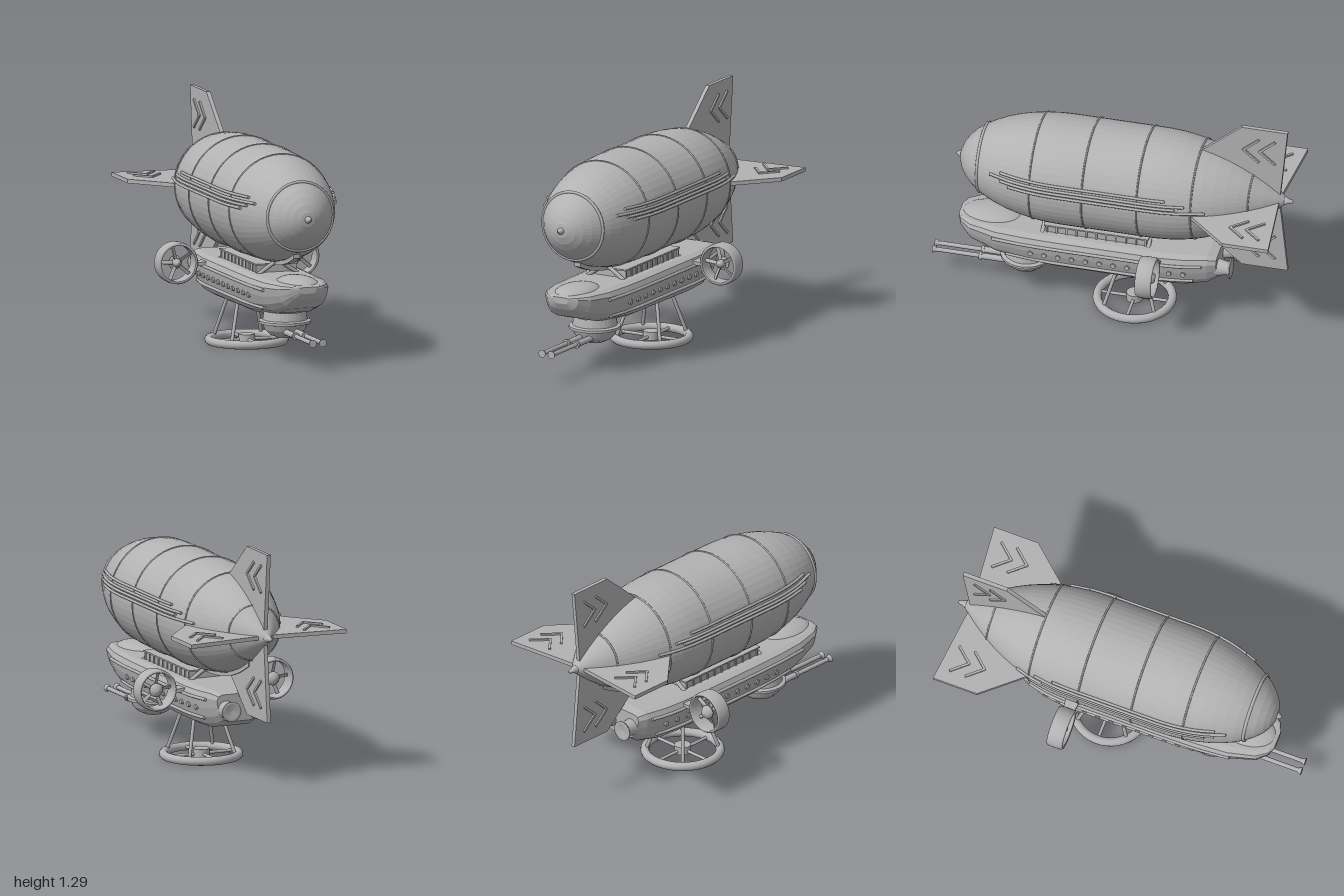
import * as THREE from 'three';

const AXIS_Y = 0.825; // height of the envelope centre line
const grey = new THREE.MeshStandardMaterial({ color: 0xb2b2b2 });
grey.name = 'light grey';
const V = (x, y, z) => new THREE.Vector3(x, y, z);

function add(parent, name, geo, x = 0, y = 0, z = 0) {
  const mesh = new THREE.Mesh(geo, grey);
  mesh.name = name;
  mesh.position.set(x, y, z);
  parent.add(mesh);
  return mesh;
}

function faceted(geo) {
  const g = geo.toNonIndexed();
  g.computeVertexNormals();
  return g;
}

// straight round bar between two points
function rod(parent, name, a, b, r, r2 = r, sides = 12) {
  const d = b.clone().sub(a);
  const m = add(parent, name, new THREE.CylinderGeometry(r2, r, d.length(), sides));
  m.position.copy(a).add(b).multiplyScalar(0.5);
  m.quaternion.setFromUnitVectors(V(0, 1, 0), d.normalize());
  return m;
}

function tube(parent, name, pts, r) {
  add(parent, name, new THREE.TubeGeometry(new THREE.CatmullRomCurve3(pts), 40, r, 8));
  rod(parent, name + 'FrontEnd', pts[0], pts[0].clone().add(V(0, 0, 0.006)), r);
  const e = pts[pts.length - 1];
  rod(parent, name + 'BackEnd', e, e.clone().add(V(0, 0, -0.006)), r);
}

const latheZ = (pts, n) =>
  new THREE.LatheGeometry(pts.map(p => new THREE.Vector2(p[0], p[1])), n).rotateX(Math.PI / 2);

// envelope radius at a given z: elliptical nose, straight middle, tapering tail
function envR(z) {
  if (z > 0.25) return 0.303 * Math.sqrt(Math.max(0, 1 - ((z - 0.25) / 0.6) ** 2));
  if (z < -0.22) return 0.303 * Math.max(0, 1 - ((-0.22 - z) / 0.76) ** 2.3);
  return 0.303;
}

// hull stations: z, top, bottom, half width; section: across, up
const STATIONS = [
  [0.85, 0.455, 0.42, 0.05], [0.83, 0.462, 0.385, 0.1], [0.77, 0.465, 0.33, 0.145],
  [0.62, 0.465, 0.283, 0.183], [0.45, 0.465, 0.26, 0.195], [0.3, 0.465, 0.245, 0.198],
  [-0.3, 0.465, 0.24, 0.198], [-0.43, 0.465, 0.243, 0.185], [-0.55, 0.465, 0.268, 0.158],
  [-0.6, 0.452, 0.3, 0.135],
];
const SECTION = [[0, 0], [0.5, 0], [0.72, 0.1], [0.86, 0.28], [0.95, 0.53], [1, 0.8], [0.93, 0.94], [0.75, 1], [0, 1]];

function lerpTable(table, key, col, k) {
  for (let i = 0; i < table.length - 1; i++) {
    const a = table[i], b = table[i + 1];
    if ((k - a[key]) * (k - b[key]) <= 0 && a[key] !== b[key])
      return a[col] + (b[col] - a[col]) * (k - a[key]) / (b[key] - a[key]);
  }
  return 0;
}
function hullX(y, z) {
  const [top, bot, hw] = [1, 2, 3].map(c => lerpTable(STATIONS, 0, c, z));
  return hw * lerpTable(SECTION, 1, 0, (y - bot) / (top - bot));
}

function hullGeometry() {
  const loop = [...SECTION, ...SECTION.slice(1, -1).reverse().map(([u, v]) => [-u, v])];
  const n = loop.length, pos = [], idx = [];
  for (const [z, top, bot, hw] of STATIONS)
    for (const [u, v] of loop) pos.push(u * hw, bot + v * (top - bot), z);
  const last = (STATIONS.length - 1) * n;
  for (let i = 0; i < last; i += n)
    for (let j = 0; j < n; j++) {
      const a = i + j, b = i + (j + 1) % n;
      idx.push(a, a + n, b, b, a + n, b + n);
    }
  for (let j = 1; j < n - 1; j++) idx.push(0, j, j + 1, last, last + j + 1, last + j);
  const g = new THREE.BufferGeometry();
  g.setAttribute('position', new THREE.Float32BufferAttribute(pos, 3));
  g.setIndex(idx);
  return faceted(g);
}

function envelope(root) {
  const g = new THREE.Group();
  g.name = 'envelope';
  g.position.y = AXIS_Y;
  root.add(g);
  const pts = [];
  for (let i = 0; i <= 12; i++) { const z = -0.98 + 0.76 * i / 12; pts.push([envR(z), z]); }
  for (let i = 0; i <= 12; i++) { const z = 0.25 + 0.6 * Math.sin(i / 12 * Math.PI / 2); pts.push([envR(z), z]); }
  add(g, 'gasBag', faceted(latheZ(pts, 48)));
  for (const z of [0.405, 0.11, -0.195, -0.49, -0.78])
    add(g, 'band', new THREE.TorusGeometry(envR(z), 0.005, 8, 48), 0, 0, z);
  add(g, 'noseRing', new THREE.TorusGeometry(envR(0.72), 0.009, 8, 48), 0, 0, 0.72);
  add(g, 'noseTip', latheZ([[0.02, 0.835], [0.019, 0.852], [0.01, 0.868], [0, 0.876]], 16));
  add(g, 'tailTip', latheZ([[0, -1], [0.01, -0.996], [0.014, -0.975], [0.024, -0.955], [0.02, -0.92]], 16));

  // four tail fins with raised chevrons
  const outline = [[0.05, -0.6], [0.25, -0.47], [0.465, -0.715], [0.465, -0.97], [0, -0.925]];
  const finGeo = new THREE.ExtrudeGeometry(new THREE.Shape(outline.map(p => new THREE.Vector2(...p))),
    { depth: 0.022, bevelEnabled: false }).translate(0, 0, -0.011).rotateX(Math.PI / 2);
  for (let k = 0; k < 4; k++) {
    const fin = new THREE.Group();
    fin.name = 'tailFin';
    fin.rotation.z = k * Math.PI / 2;
    g.add(fin);
    add(fin, 'finPlate', finGeo);
    for (const z of [-0.725, -0.815])
      for (const s of [-1, 1]) {
        const bar = add(fin, 'chevronBar', new THREE.BoxGeometry(0.118, 0.04, 0.013), 0.32 + s * 0.037, 0, z - 0.042);
        bar.rotation.y = Math.atan2(0.085, s * 0.075);
      }
  }

  // rails lying along both flanks
  for (const s of [-1, 1])
    for (const [dy, z0, z1] of [[0.095, 0.57, -0.345], [0.068, 0.63, -0.45], [0.05, 0.57, -0.4], [0.03, 0.52, -0.56]]) {
      const p = [];
      for (let i = 0; i <= 10; i++) {
        const z = z0 + (z1 - z0) * i / 10;
        p.push(V(s * (Math.sqrt(envR(z) ** 2 - dy * dy) + 0.005), dy, z));
      }
      tube(g, 'flankRail', p, 0.008);
    }

  // keel beam hugging the underside
  const low = [], high = [];
  for (let i = 0; i <= 24; i++) {
    const z = 0.67 - 1.42 * i / 24;
    low.push(new THREE.Vector2(z, -envR(z) - 0.022));
    high.unshift(new THREE.Vector2(z, -envR(z) + 0.01));
  }
  add(g, 'keelBeam', new THREE.ExtrudeGeometry(new THREE.Shape([...low, ...high]),
    { depth: 0.036, bevelEnabled: false }).translate(0, 0, -0.018).rotateY(-Math.PI / 2));
}

function gondola(root) {
  const g = new THREE.Group();
  g.name = 'gondola';
  root.add(g);
  add(g, 'hull', hullGeometry());
  add(g, 'canopy', new THREE.SphereGeometry(1, 32, 16).scale(0.11, 0.045, 0.165), 0, 0.45, 0.675);
  add(g, 'deckHouse', new THREE.BoxGeometry(0.22, 0.05, 0.56), 0, 0.485, 0.07);
  add(g, 'deckHouseRoof', new THREE.BoxGeometry(0.24, 0.008, 0.58), 0, 0.51, 0.07);
  for (const s of [-1, 1]) {
    for (let i = 0; i < 11; i++)
      add(g, 'deckHousePost', new THREE.BoxGeometry(0.01, 0.05, 0.01), s * 0.112, 0.485, 0.345 - i * 0.055);
    for (const z of [0.37, -0.22])
      rod(g, 'hangerStrut', V(0, 0.535, z), V(s * 0.12, 0.455, z), 0.011);
    for (const [y, z0, z1] of [[0.417, 0.63, -0.52], [0.305, 0.56, -0.47]]) {
      const p = [];
      for (let i = 0; i <= 12; i++) {
        const z = z0 + (z1 - z0) * i / 12;
        p.push(V(s * (hullX(y, z) + 0.004), y, z));
      }
      tube(g, 'hullRail', p, 0.009);
    }
    for (let i = 0; i < 12; i++) {
      const z = 0.42 - i * 0.077;
      add(g, 'porthole', new THREE.CylinderGeometry(0.014, 0.014, 0.02, 14).rotateZ(Math.PI / 2), s * hullX(0.36, z), 0.36, z);
    }
    // stern nozzles
    add(g, 'sternNozzle', latheZ([[0, -0.665], [0.04, -0.67], [0.055, -0.675], [0.055, -0.664], [0.036, -0.655], [0.05, -0.59], [0.05, -0.52]], 20),
      s * 0.08, 0.37, 0);
  }
}

function gunTurret(root) {
  const g = new THREE.Group();
  g.name = 'gunTurret';
  g.position.z = 0.485;
  root.add(g);
  const prof = [[0, 0.124], [0.045, 0.129], [0.083, 0.146], [0.11, 0.172], [0.123, 0.204], [0.142, 0.208], [0.142, 0.222], [0.122, 0.228], [0.115, 0.275]];
  add(g, 'turretBowl', faceted(new THREE.LatheGeometry(prof.map(p => new THREE.Vector2(...p)), 32)));
  for (const s of [-1, 1]) {
    const at = z => V(s * 0.029, 0.17, z);
    rod(g, 'gunBarrel', at(0.06), at(0.51), 0.012);
    rod(g, 'gunSleeve', at(0.08), at(0.25), 0.017);
    rod(g, 'gunCollar', at(0.24), at(0.256), 0.022);
    rod(g, 'gunMuzzle', at(0.495), at(0.515), 0.014, 0.022);
  }
}

function engine(root, s) {
  const g = new THREE.Group();
  g.name = s > 0 ? 'leftEngine' : 'rightEngine';
  g.position.set(s * 0.35, 0.44, -0.27);
  root.add(g);
  add(g, 'duct', latheZ([[0.099, 0.042], [0.097, 0], [0.099, -0.042], [0.107, -0.046], [0.113, -0.038], [0.115, 0], [0.113, 0.038], [0.107, 0.046], [0.099, 0.042]], 36));
  add(g, 'spinner', latheZ([[0, -0.03], [0.023, -0.03], [0.023, 0.015], [0.015, 0.032], [0, 0.04]], 18));
  add(g, 'motor', latheZ([[0, -0.045], [0.025, -0.04], [0.038, -0.02], [0.038, -0.008], [0, -0.008]], 18));
  for (let i = 0; i < 5; i++) {
    const arm = new THREE.Group();
    arm.name = 'propellerArm';
    arm.rotation.z = 1.8 + i * Math.PI * 2 / 5;
    g.add(arm);
    add(arm, 'blade', new THREE.BoxGeometry(0.085, 0.02, 0.006), 0.058, 0, 0.004).rotation.x = 0.5;
  }
  // flat pylon to the hull
  const wing = new THREE.BoxGeometry(0.15, 0.03, 0.1);
  const p = wing.attributes.position;
  for (let i = 0; i < p.count; i++)
    if (p.getX(i) > 0) p.setXYZ(i, p.getX(i), p.getY(i) * 0.6, p.getZ(i) * 0.6);
  if (s < 0) wing.rotateY(Math.PI);
  wing.computeVertexNormals();
  add(g, 'pylon', wing, -s * 0.178, -0.008, 0).rotation.z = -s * 0.06;
}

function landingGear(root) {
  const g = new THREE.Group();
  g.name = 'landingGear';
  g.position.z = -0.117;
  root.add(g);
  add(g, 'landingRing', new THREE.TorusGeometry(0.204, 0.024, 12, 48).rotateX(Math.PI / 2), 0, 0.024, 0);
  add(g, 'hub', new THREE.CylinderGeometry(0.045, 0.045, 0.045, 20), 0, 0.032, 0);
  rod(g, 'crossSpoke', V(-0.2, 0.026, 0), V(0.2, 0.026, 0), 0.009);
  rod(g, 'lengthSpoke', V(0, 0.026, -0.2), V(0, 0.026, 0.2), 0.009);
  for (const sx of [-1, 1])
    for (const sz of [-1, 1])
      rod(g, 'legStrut', V(sx * 0.08, 0.255, sz * 0.08), V(sx * 0.138, 0.03, sz * 0.142), 0.01);
}

export function createModel() {
  const root = new THREE.Group();
  root.name = 'airship';
  envelope(root);
  gondola(root);
  gunTurret(root);
  engine(root, 1);
  engine(root, -1);
  landingGear(root);
  return root;
}
